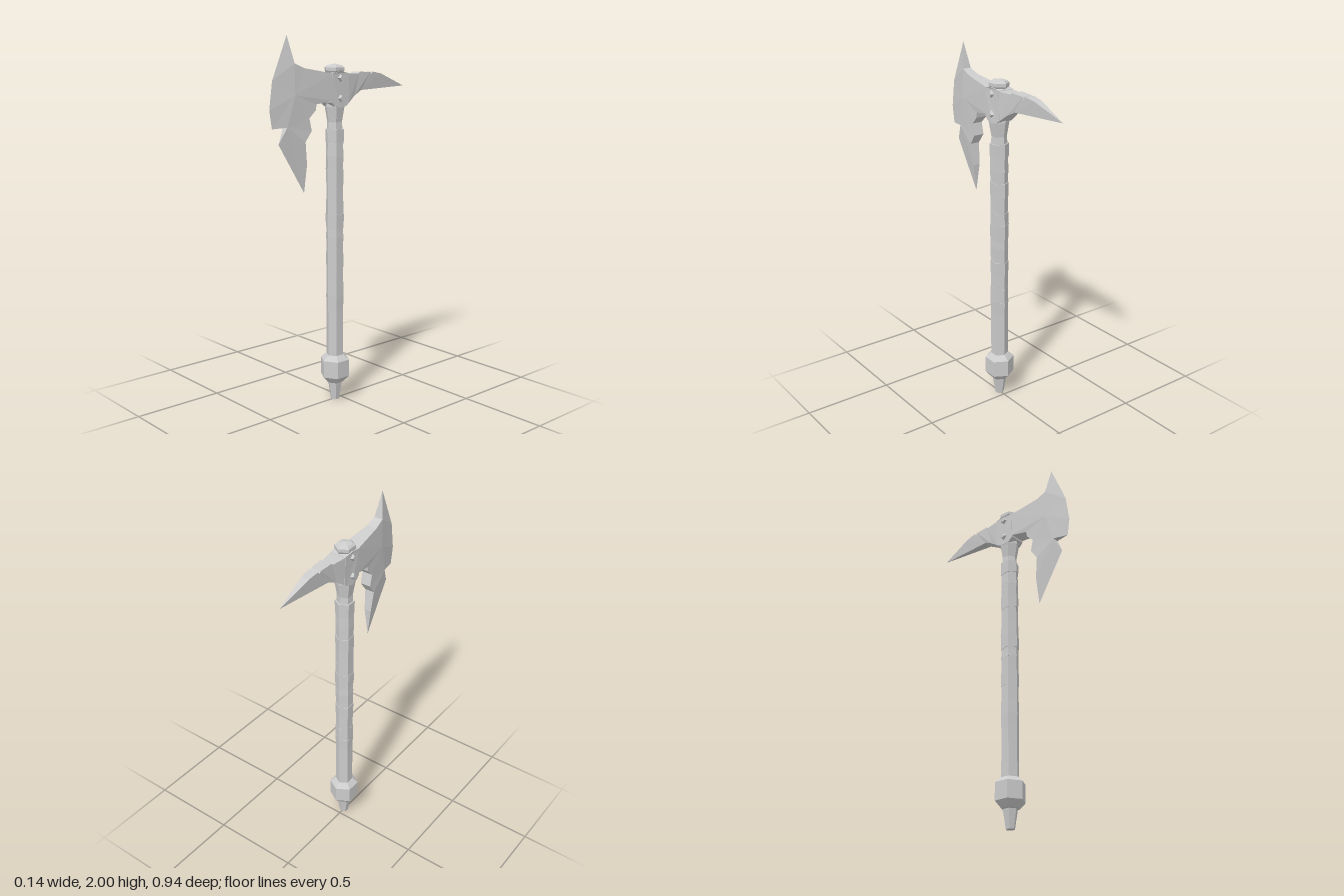
import * as THREE from 'three';

const AXIS_Z = 0.042; // the shaft sits slightly forward of the centre

// Bevelled slab: outline points are [z, y, half thickness], faces are fans of indices.
function slab(points, rimCount, faces) {
  const pos = [];
  const at = (i, side) => [points[i][2] * side, points[i][1], points[i][0]];
  const tri = (a, b, c) => pos.push(...a, ...b, ...c);
  for (const f of faces) {
    for (let k = 1; k < f.length - 1; k++) {
      tri(at(f[0], -1), at(f[k], -1), at(f[k + 1], -1));
      tri(at(f[0], 1), at(f[k + 1], 1), at(f[k], 1));
    }
  }
  for (let i = 0; i < rimCount; i++) {
    const j = (i + 1) % rimCount;
    if (points[j][2] > 0) tri(at(i, 1), at(j, 1), at(j, -1));
    if (points[i][2] > 0) tri(at(i, 1), at(j, -1), at(i, -1));
  }
  const g = new THREE.BufferGeometry();
  g.setAttribute('position', new THREE.Float32BufferAttribute(pos, 3));
  g.computeVertexNormals();
  return g;
}

// Six-sided turned part from [radius, y] pairs, bottom to top.
function hexLathe(profile) {
  const g = new THREE.LatheGeometry(profile.map(([r, y]) => new THREE.Vector2(r, y)), 6).toNonIndexed();
  g.computeVertexNormals();
  return g.translate(0, 0, AXIS_Z);
}

export function createModel() {
  const group = new THREE.Group();
  const steel = new THREE.MeshStandardMaterial({ color: 0xcccccc });
  steel.name = 'plain grey';
  const add = (name, geometry) => {
    const mesh = new THREE.Mesh(geometry, steel);
    mesh.name = name;
    group.add(mesh);
    return mesh;
  };

  // Shaft, flaring under the head
  add('shaft', hexLathe([[0, 0.2], [0.048, 0.2], [0.048, 1.05], [0.045, 1.1], [0.045, 1.5],
    [0.041, 1.55], [0.055, 1.63], [0.05, 1.7], [0, 1.7]]));

  // Pommel with tapered foot
  add('pommel', hexLathe([[0, 0], [0.024, 0], [0.04, 0.1], [0.05, 0.105], [0.082, 0.14],
    [0.082, 0.235], [0.052, 0.262], [0, 0.262]]));

  // Wrapped grip: stacked bands with slanted edges
  const bands = [0.51, 0.6, 0.68, 0.765, 0.84, 0.925, 0.98, 1.057, 1.13, 1.22, 1.3, 1.365, 1.44, 1.512];
  for (let i = 0; i < bands.length - 1; i++) {
    const wide = i === 6 || i === 12; // collars closing each wrap
    const low = wide ? 0.051 : 0.0475 + 0.002 * (i % 2);
    const high = wide ? 0.052 : 0.0505 - 0.0015 * (i % 3);
    const g = hexLathe([[0, bands[i]], [low, bands[i]], [high, bands[i + 1]], [0, bands[i + 1]]]);
    const p = g.attributes.position;
    const tilt = (y) => (y === bands[0] ? 0.1 : Math.abs(y - 1.057) < 0.001 || y > 1.51 ? 0 : 0.16);
    for (let v = 0; v < p.count; v++) {
      const y = bands[i] + (p.getY(v) > (bands[i] + bands[i + 1]) / 2 ? bands[i + 1] - bands[i] : 0);
      p.setY(v, y + tilt(y) * (p.getZ(v) - AXIS_Z + p.getX(v) * 0.2));
    }
    g.computeVertexNormals();
    add('gripBand', g);
  }

  // Socket plate around the shaft
  add('socket', slab([
    [0.098, 1.805, 0.046], [0.042, 1.815, 0.05], [-0.016, 1.805, 0.046], [-0.02, 1.65, 0.046],
    [0.0, 1.635, 0.047], [0.042, 1.625, 0.05], [0.08, 1.635, 0.047], [0.1, 1.655, 0.046],
  ], 8, [[0, 1, 2, 3, 4, 5, 6, 7]]));

  // Top cap
  const cap = hexLathe([[0, 1.8], [0.045, 1.8], [0.058, 1.818], [0.058, 1.835], [0.045, 1.845], [0, 1.855]]);
  add('cap', cap.scale(0.9, 1, 1));

  // Diamond rivets on both cheeks
  for (const side of [-1, 1]) {
    for (const y of [1.78, 1.675]) {
      const g = new THREE.CylinderGeometry(0.012, 0.021, 0.012, 4).toNonIndexed();
      g.computeVertexNormals();
      g.rotateZ(-side * Math.PI / 2).translate(side * 0.054, y, AXIS_Z);
      add('rivet', g);
    }
  }

  // Bearded blade: sharp outer edge, thick inner edge, notch above the beard
  add('blade', slab([
    [0.36, 2.0, 0], [0.33, 1.86, 0.025], [0.27, 1.835, 0.029], [0.095, 1.805, 0.045],
    [0.095, 1.665, 0.045], [0.195, 1.65, 0.034], [0.2, 1.62, 0.033], [0.24, 1.58, 0.03],
    [0.225, 1.515, 0.03], [0.265, 1.46, 0.028], [0.25, 1.34, 0.02], [0.255, 1.19, 0],
    [0.42, 1.455, 0], [0.375, 1.54, 0.018], [0.46, 1.535, 0], [0.475, 1.63, 0],
    [0.455, 1.775, 0], [0.33, 1.7, 0.028],
  ], 17, [
    [16, 0, 1], [17, 16, 1, 2, 3, 4, 5, 6, 7, 13, 14, 15, 16],
    [13, 7, 8, 9, 10, 11, 12],
  ]));

  // Rear spike with a nicked upper edge
  add('spike', slab([
    [-0.01, 1.803, 0.046], [-0.1, 1.8, 0.033], [-0.11, 1.81, 0.032], [-0.19, 1.806, 0.029],
    [-0.2, 1.792, 0.028], [-0.21, 1.808, 0.027], [-0.275, 1.797, 0.022], [-0.47, 1.725, 0],
    [-0.125, 1.712, 0.026], [-0.07, 1.685, 0.034], [-0.015, 1.645, 0.045],
  ], 11, [[10, 0, 1, 9], [9, 1, 2, 3, 8], [8, 3, 4], [8, 4, 5, 6, 7]]));

  return group;
}
